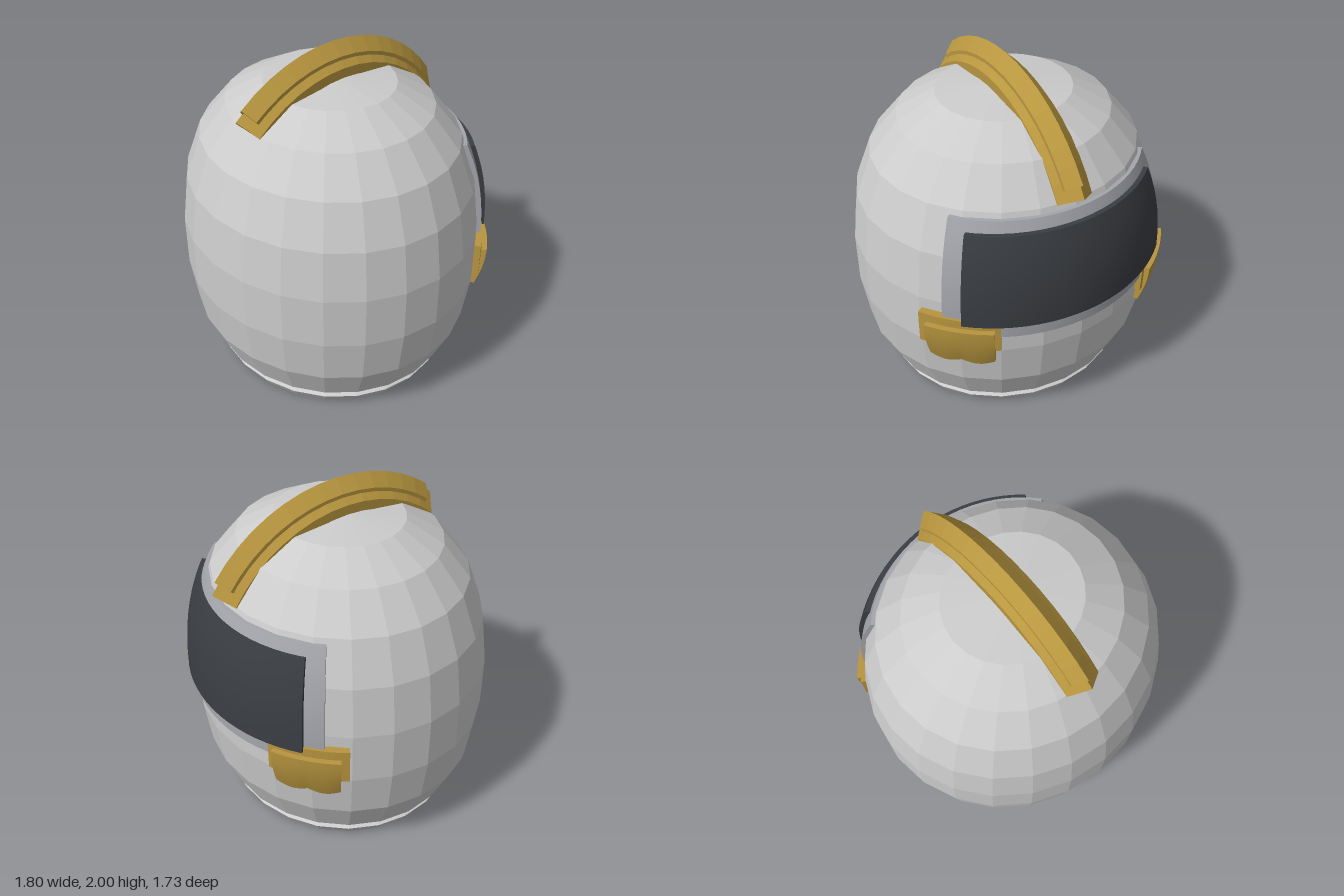
import * as THREE from 'three';

const CZ = 0.02;          // centre of the shell in z
const DEPTH = 0.933;      // depth of the oval relative to its width
const rad = THREE.MathUtils.degToRad;

const grey = new THREE.MeshStandardMaterial({ color: 0xcccccc, flatShading: true });
const gold = new THREE.MeshStandardMaterial({ color: 0xb8963f });
const goldFlat = new THREE.MeshStandardMaterial({ color: 0xb8963f, flatShading: true });
const frameGrey = new THREE.MeshStandardMaterial({ color: 0xa4a6ac });
const dark = new THREE.MeshStandardMaterial({ color: 0x3a3d42 });

// Half-width of the shell at height y
const shellRadius = (y) => 0.905 - 0.355 * Math.pow(Math.abs(y - 0.785), 2.55);

function addMesh(group, name, geometry, material) {
  const mesh = new THREE.Mesh(geometry, material);
  mesh.name = name;
  group.add(mesh);
  return mesh;
}

// Moves every vertex of a geometry by a rule
function warp(geometry, rule) {
  const p = geometry.attributes.position;
  for (let i = 0; i < p.count; i++) p.setXYZ(i, ...rule(p.getX(i), p.getY(i), p.getZ(i)));
  geometry.computeVertexNormals();
  return geometry;
}

// Oval lathe part
function ovalLathe(points) {
  const g = new THREE.LatheGeometry(points.map(([r, y]) => new THREE.Vector2(r, y)), 24);
  g.scale(1, 1, DEPTH);
  g.translate(0, 0, CZ);
  return g;
}

// Solid plate wrapped on the shell between two angles (degrees from -z towards +x).
// bottom(u) gives the lower edge, outer(v) the scale of the outside face.
function wrappedPlate(a0, a1, bottom, top, inner, outer, nu, nv) {
  return warp(new THREE.BoxGeometry(1, 1, 1, nu, nv, 1), (x, y, z) => {
    const u = x + 0.5, v = y + 0.5;
    const a = rad(a1 + (a0 - a1) * u);
    const h = THREE.MathUtils.lerp(bottom(u), top, v);
    const r = shellRadius(h) * (z > 0 ? outer(v) : inner);
    return [r * Math.sin(a), h, CZ - r * DEPTH * Math.cos(a)];
  });
}

// Bar with the given (x, radius) section bent along an arc over the crown
function arcBar(section, a0, a1) {
  const shape = new THREE.Shape(section.map(([x, r]) => new THREE.Vector2(x, r)));
  const g = new THREE.ExtrudeGeometry(shape, { depth: 1, steps: 14, bevelEnabled: false });
  return warp(g, (x, r, t) => {
    const a = rad(a0 + (a1 - a0) * t);
    return [x, 1.045 + r * Math.cos(a), 0.025 + r * Math.sin(a)];
  });
}

export function createModel() {
  const model = new THREE.Group();
  model.name = 'helmet';

  // Faceted shell
  addMesh(model, 'shell', ovalLathe([
    [0.66, 0.09], [0.72, 0.10], [0.76, 0.13], [0.86, 0.35], [0.9, 0.63], [0.9, 0.94],
    [0.86, 1.23], [0.765, 1.48], [0.605, 1.67], [0.385, 1.79], [0, 1.83],
  ]), grey);

  // Neck ring with a recessed underside
  addMesh(model, 'neckRing', ovalLathe([
    [0, 0.055], [0.61, 0.055], [0.645, 0], [0.69, 0], [0.735, 0.07], [0.69, 0.1],
  ]), grey);

  // Visor and its frame
  addMesh(model, 'visorFrame',
    wrappedPlate(-50.3, 50.3, () => 0.755, 1.45, 0.94, () => 1.02, 20, 8), frameGrey);
  addMesh(model, 'visor',
    wrappedPlate(-43, 43, () => 0.85, 1.39, 0.97, () => 1.053, 20, 8), dark);

  // Crest: broad base and raised ridge
  addMesh(model, 'crestBase', arcBar(
    [[-0.105, 0.78], [0.105, 0.78], [0.105, 0.835], [0, 0.93], [-0.105, 0.835]], -58.8, 41.6), goldFlat);
  addMesh(model, 'crestRidge', arcBar(
    [[-0.07, 0.82], [0.07, 0.82], [0.07, 0.887], [0, 0.955], [-0.07, 0.887]], -54.4, 37.8), goldFlat);

  // Clips at the lower visor corners, with scalloped covers
  for (const side of [-1, 1]) {
    const span = (a, b) => (side > 0 ? [a, b] : [-b, -a]);
    const clip = new THREE.Group();
    clip.name = side > 0 ? 'leftClip' : 'rightClip';
    addMesh(clip, 'clipBase',
      wrappedPlate(...span(30, 59), () => 0.66, 0.87, 0.95, () => 1.035, 8, 3), gold);
    addMesh(clip, 'clipCover', wrappedPlate(...span(32, 56),
      (u) => 0.56 - 0.025 * Math.abs(Math.sin(2 * Math.PI * u)), 0.815, 0.95,
      (v) => 1.02 + 0.05 * Math.sin(v * Math.PI / 2), 16, 6), gold);
    model.add(clip);
  }
  return model;
}
